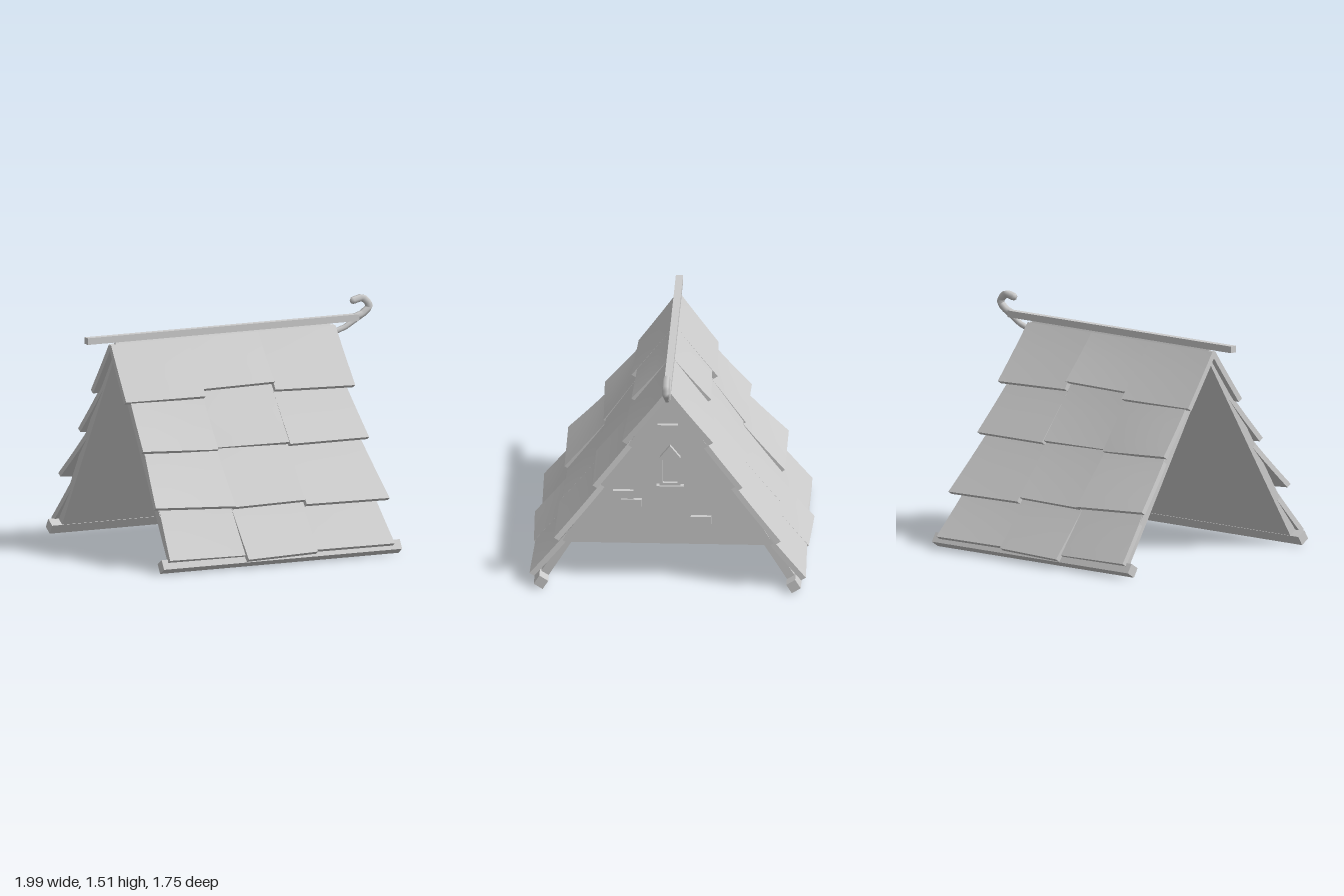
import * as THREE from 'three';

const material = new THREE.MeshStandardMaterial({ color: 0xcccccc, side: THREE.DoubleSide });
const lerp = THREE.MathUtils.lerp;

function add(parent, name, geometry) {
  const mesh = new THREE.Mesh(geometry, material);
  mesh.name = name;
  parent.add(mesh);
  return mesh;
}

// Roof slope frame: s runs down the slope, n points out of it, starting at the inner ridge.
const RIDGE = 1.25, C = 0.848, S = 0.53;
const slopeY = (s, n) => RIDGE - C * s + S * n;
const slopeZ = (s, n) => S * s + C * n;
const toSlope = (y, z) => [-C * (y - RIDGE) + S * z, S * (y - RIDGE) + C * z];

// Extrudes a [z, y] outline along x, from xMin to xMax.
function prism(points, xMin, xMax, hole) {
  const vec = (list) => list.map(([z, y]) => new THREE.Vector2(z, y));
  const shape = new THREE.Shape(vec(points));
  if (hole) shape.holes.push(new THREE.Path(vec(hole)));
  return new THREE.ExtrudeGeometry(shape, { depth: xMax - xMin, bevelEnabled: false })
    .rotateY(-Math.PI / 2).translate(xMax, 0, 0);
}

// Each row: start s, outer x limits at top and at bottom,
// then per tile the lower edge as [yLeft, zLeft, yRight, zRight].
const rows = [
  { s: -0.06, top: [-0.835, 0.73], low: [-0.845, 0.735],
    tiles: [[1.0, 0.25, 1.0, 0.27], [1.04, 0.235, 1.05, 0.25], [1.0, 0.26, 0.99, 0.285]] },
  { s: 0.3, top: [-0.8, 0.69], low: [-0.83, 0.74],
    tiles: [[0.72, 0.46, 0.69, 0.445], [0.7, 0.43, 0.7, 0.455], [0.69, 0.47, 0.69, 0.47]] },
  { s: 0.64, top: [-0.79, 0.69], low: [-0.855, 0.765],
    tiles: [[0.4, 0.69, 0.37, 0.69], [0.36, 0.67, 0.37, 0.68], [0.345, 0.7, 0.34, 0.71]] },
  { s: 1.04, top: [-0.79, 0.69], low: [-0.83, 0.725],
    tiles: [[0.09, 0.84, 0.08, 0.83], [0.06, 0.875, 0.07, 0.86], [0.08, 0.85, 0.08, 0.865]] },
];

// A box bent so that its lower edge lifts and twists off the slope.
function tileGeometry(row, col) {
  const [yL, zL, yR, zR] = row.tiles[col];
  const [sL, nL] = toSlope(yL, zL), [sR, nR] = toSlope(yR, zR);
  const top = [row.top[0], -0.3, 0.19, row.top[1]];
  const low = [row.low[0], -0.298, 0.192, row.low[1]];
  const geometry = new THREE.BoxGeometry(1, 1, 1, 4, 1, 5);
  const p = geometry.attributes.position;
  for (let i = 0; i < p.count; i++) {
    const u = p.getX(i) + 0.5, inner = 0.5 - p.getY(i), t = p.getZ(i) + 0.5;
    const s = lerp(row.s, lerp(sL, sR, u), t);
    const n = lerp(0.053, lerp(nL, nR, u), Math.pow(t, 1.2)) - 0.035 * inner;
    const x = lerp(lerp(top[col], top[col + 1], u), lerp(low[col], low[col + 1], u), t);
    p.setXYZ(i, x, slopeY(s, n), slopeZ(s, n));
  }
  geometry.computeVertexNormals();
  return geometry;
}

function roofSide(name) {
  const side = new THREE.Group();
  side.name = name;
  add(side, 'roofSlab', prism([[0, RIDGE], [0.77, 0.02], [0.815, 0.05], [0, 1.345]], -0.8, 0.7));
  rows.forEach((row, r) => {
    for (let c = 0; c < 3; c++) add(side, `roofTile${r + 1}_${c + 1}`, tileGeometry(row, c));
  });
  // Square eave beam, tilted with the slope
  const beam = add(side, 'eaveBeam', new THREE.BoxGeometry(1.66, 0.066, 0.066));
  beam.position.set(-0.04, 0.046, 0.79);
  beam.rotation.x = Math.atan2(C, S);
  return side;
}

// Bar following straight segments through [x, y] points
function bar(points, radius) {
  const path = new THREE.CurvePath();
  const v = points.map(([x, y]) => new THREE.Vector3(x, y, 0));
  for (let i = 1; i < v.length; i++) path.add(new THREE.LineCurve3(v[i - 1], v[i]));
  return new THREE.TubeGeometry(path, (v.length - 1) * 3, radius, 6, false);
}

export function createModel() {
  const model = new THREE.Group();
  model.name = 'gabledRoof';

  // Two mirrored roof slopes
  model.add(roofSide('frontSlope'));
  const back = roofSide('backSlope');
  back.scale.z = -1;
  model.add(back);

  // Ridge pole with curled finial and its brace
  const ridge = add(model, 'ridgePole', new THREE.BoxGeometry(1.89, 0.042, 0.046));
  ridge.position.set(-0.055, 1.363, 0);
  const curl = [[0.86, 1.362], [0.92, 1.38], [0.972, 1.42], [0.965, 1.45], [0.925, 1.488], [0.86, 1.472]];
  add(model, 'finialHook', bar(curl, 0.024));
  const tip = add(model, 'finialTip', new THREE.SphereGeometry(0.024, 6, 4));
  tip.position.set(0.86, 1.472, 0);
  add(model, 'finialBrace', bar([[0.68, 1.268], [0.8, 1.305], [0.92, 1.375]], 0.018));

  // Gable wall, set back under the overhang at the left end
  const wallX = 0.58;
  add(model, 'gableWall', prism([[-0.635, 0.235], [0.635, 0.235], [0, 1.25]], wallX - 0.02, wallX));

  // Pointed window: frame, pane and sill
  const arch = (w, y0, y1, y2) => [[-w, y0], [w, y0], [w, y1], [0, y2], [-w, y1]].map(([z, y]) => [z - 0.01, y]);
  const opening = arch(0.046, 0.66, 0.815, 0.885);
  add(model, 'windowFrame', prism(arch(0.065, 0.64, 0.83, 0.91), wallX, wallX + 0.03, opening));
  add(model, 'windowPane', prism(opening, wallX, wallX + 0.006));
  const sill = add(model, 'windowSill', new THREE.BoxGeometry(0.045, 0.014, 0.17));
  sill.position.set(wallX + 0.022, 0.635, -0.01);

  // Raised bricks on the wall
  [[0.005, 1.025], [0.283, 0.573], [0.232, 0.515], [-0.203, 0.405]].forEach(([z, y], i) => {
    const brick = add(model, `brick${i + 1}`, new THREE.BoxGeometry(0.04, 0.052, 0.128));
    brick.position.set(wallX + 0.01, y, z);
  });
  return model;
}
